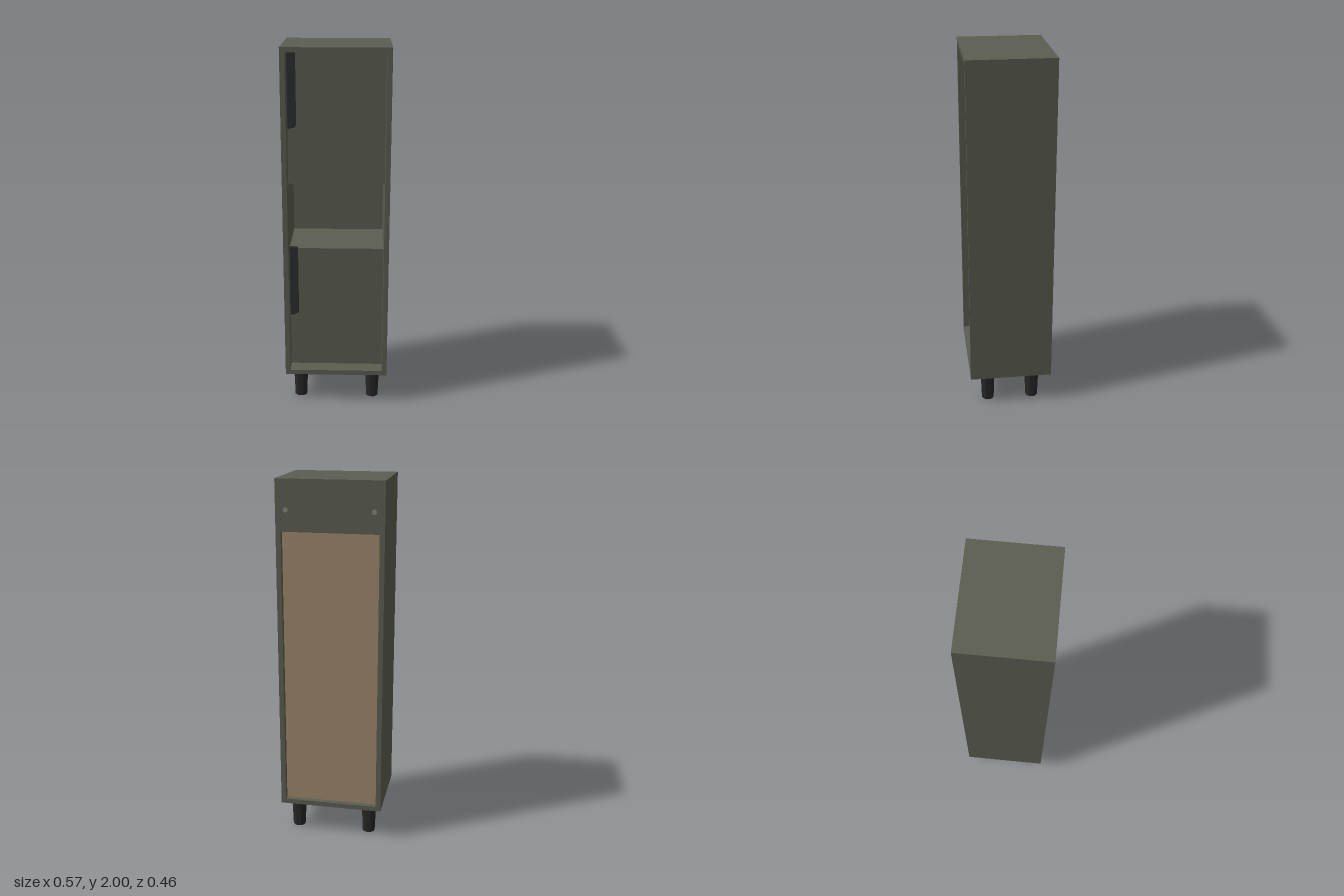
import * as THREE from 'three';

const W = 0.57, D = 0.46, BASE = 0.175, TOP = 2, T = 0.027;
const IN = W / 2 - T;            // inner half width
const DOOR_Z = 0.145;            // front plane of the doors
const DOOR_T = 0.028;
const NOTCH_W = 0.047, NOTCH_H = 0.405, NOTCH_R = 0.035;

export function createModel() {
  const green = new THREE.MeshStandardMaterial({ color: 0x5a5d50 });
  green.name = 'olive lacquer';
  const brown = new THREE.MeshStandardMaterial({ color: 0x9c8469 });
  brown.name = 'raw hardboard';
  const dark = new THREE.MeshStandardMaterial({ color: 0x2b2d2f });
  dark.name = 'handle charcoal';
  const black = new THREE.MeshStandardMaterial({ color: 0x272727, flatShading: true });
  black.name = 'black plastic';
  const grey = new THREE.MeshStandardMaterial({ color: 0x85807a });
  grey.name = 'screw cap grey';

  const model = new THREE.Group();
  model.name = 'tallCabinet';

  const add = (name, geo, mat, x = 0, y = 0, z = 0, parent = model) => {
    const m = new THREE.Mesh(geo, mat);
    m.name = name;
    m.position.set(x, y, z);
    parent.add(m);
    return m;
  };
  // Box given by its limits on each axis
  const slab = (name, mat, x0, x1, y0, y1, z0, z1) =>
    add(name, new THREE.BoxGeometry(x1 - x0, y1 - y0, z1 - z0), mat,
      (x0 + x1) / 2, (y0 + y1) / 2, (z0 + z1) / 2);

  // Carcass
  for (const s of [-1, 1]) {
    add(s > 0 ? 'leftSide' : 'rightSide', new THREE.BoxGeometry(T, TOP - BASE, D), green,
      s * (W / 2 - T / 2), (TOP + BASE) / 2, 0);
  }
  slab('topPanel', green, -IN, IN, TOP - T, TOP, -D / 2, D / 2);
  slab('bottomPanel', green, -IN, IN, BASE, BASE + T, -D / 2, D / 2);

  // Open niche between two shelves
  const shelfFront = DOOR_Z - DOOR_T, backZ = -0.19;
  slab('nicheFloor', green, -IN, IN, 0.905 - T, 0.905, backZ, shelfFront);
  slab('nicheCeiling', green, -IN, IN, 1.27, 1.27 + T, backZ, shelfFront);

  // Back: lacquered inside, bare outside, with a hanging rail on top
  slab('backLining', green, -IN, IN, BASE + T, TOP - T, backZ - 0.006, backZ);
  slab('backBoard', brown, -IN, IN, BASE + T, TOP - T, backZ - 0.012, backZ - 0.006);
  slab('hangingRail', green, -IN, IN, 1.73, TOP - T, -D / 2 + 0.001, backZ - 0.012);
  for (const x of [-0.23, 0.23]) {
    const cap = add('railScrew', new THREE.CylinderGeometry(0.013, 0.013, 0.006, 20), grey,
      x, 1.843, -D / 2 - 0.0005);
    cap.rotation.x = Math.PI / 2;
  }

  // Doors with a rounded grip notch in the upper corner
  const extrude = (shape, depth) => new THREE.ExtrudeGeometry(shape,
    { depth, bevelEnabled: false, curveSegments: 8 });
  const door = (name, y0, y1) => {
    const g = new THREE.Group();
    g.name = name;
    model.add(g);
    const xn = -IN + NOTCH_W, yn = y1 - NOTCH_H;
    const leaf = new THREE.Shape();
    leaf.moveTo(-IN, y0);
    leaf.lineTo(IN, y0);
    leaf.lineTo(IN, y1);
    leaf.lineTo(xn, y1);
    leaf.lineTo(xn, yn + NOTCH_R);
    leaf.quadraticCurveTo(xn, yn, xn - NOTCH_R, yn);
    leaf.lineTo(-IN, yn);
    add('doorLeaf', extrude(leaf, DOOR_T), green, 0, 0, DOOR_Z - DOOR_T, g);

    const grip = new THREE.Shape();
    grip.moveTo(-IN, yn);
    grip.lineTo(xn - NOTCH_R, yn);
    grip.quadraticCurveTo(xn, yn, xn, yn + NOTCH_R);
    grip.lineTo(xn, y1);
    grip.lineTo(-IN, y1);
    add('handle', extrude(grip, DOOR_T - 0.008), dark, 0, 0, DOOR_Z - DOOR_T, g);
  };
  door('upperDoor', 1.27, TOP - T);
  door('lowerDoor', BASE + T, 0.905);

  // Feet: lobed mounting plate, neck and tapered faceted body
  for (const x of [-0.205, 0.205]) for (const z of [-0.128, 0.128]) {
    const foot = new THREE.Group();
    foot.name = 'foot';
    foot.position.set(x, 0, z);
    model.add(foot);
    add('plate', new THREE.CylinderGeometry(0.045, 0.045, 0.01, 16), black, 0, BASE - 0.005, 0, foot);
    for (let i = 0; i < 4; i++) {
      const a = i * Math.PI / 2;
      add('plateLobe', new THREE.CylinderGeometry(0.018, 0.018, 0.01, 12), black,
        0.043 * Math.cos(a), BASE - 0.005, 0.043 * Math.sin(a), foot);
    }
    add('neck', new THREE.CylinderGeometry(0.027, 0.027, 0.02, 12), black, 0, 0.156, 0, foot);
    add('collar', new THREE.CylinderGeometry(0.041, 0.041, 0.01, 16), black, 0, 0.145, 0, foot);
    const body = add('footBody', new THREE.CylinderGeometry(0.041, 0.036, 0.14, 8), black, 0, 0.07, 0, foot);
    body.rotation.y = Math.PI / 8;
  }
  return model;
}
